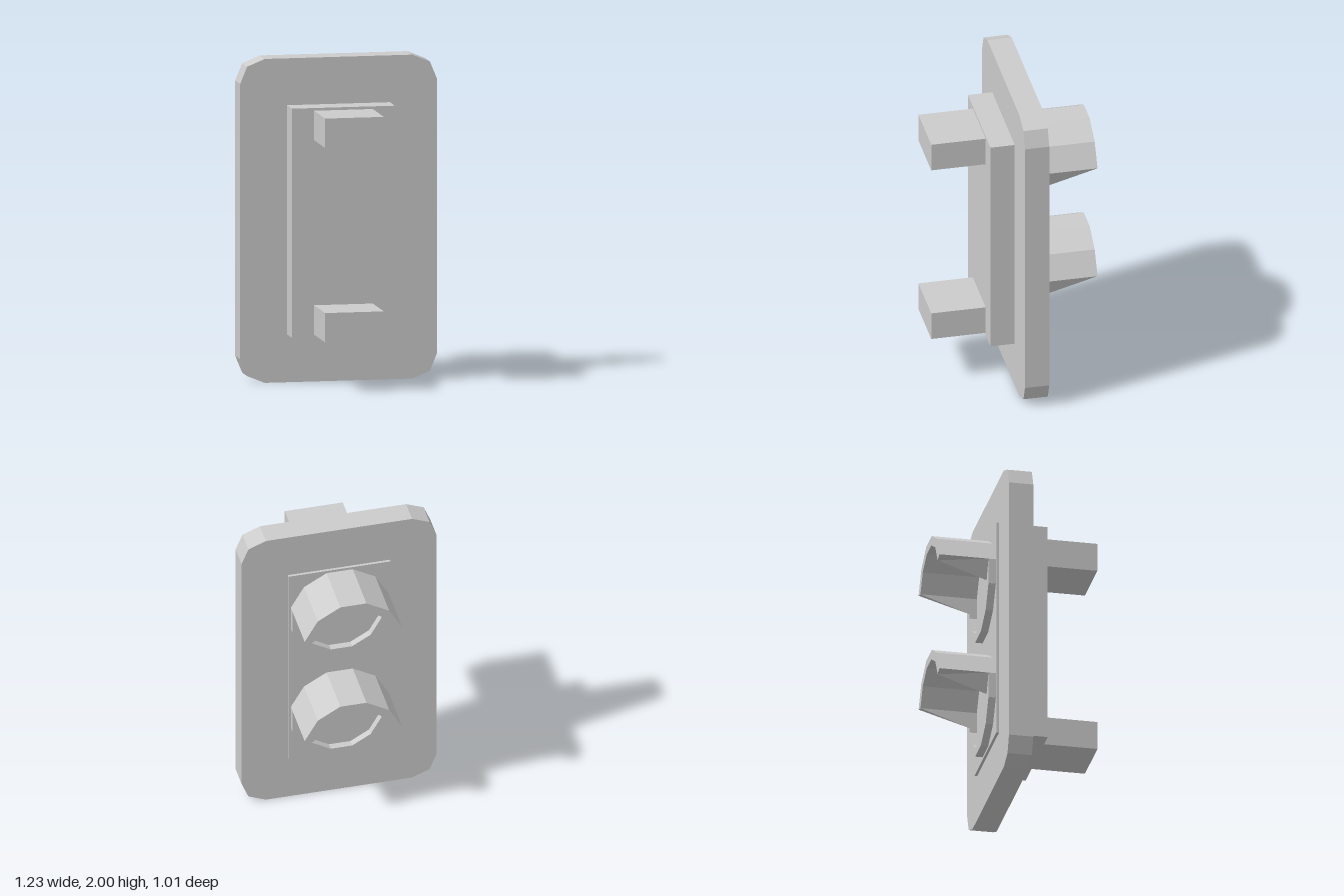
import * as THREE from 'three';

const mat = new THREE.MeshStandardMaterial({ color: 0xcccccc, flatShading: true });
const R = 0.318, r = 0.26; // outer and inner radius of the twelve-sided visors

function add(parent, name, geometry, x = 0, y = 0, z = 0) {
  const mesh = new THREE.Mesh(geometry, mat);
  mesh.name = name;
  mesh.position.set(x, y, z);
  parent.add(mesh);
  return mesh;
}

// Vertices of a twelve-sided polygon with flat top, first at 15 degrees
function polygon(radius, count) {
  return Array.from({ length: count }, (_, i) => {
    const a = (15 + 30 * i) * Math.PI / 180;
    return new THREE.Vector2(radius * Math.cos(a), radius * Math.sin(a));
  });
}

const extrude = (shape, depth) => new THREE.ExtrudeGeometry(shape, { depth, bevelEnabled: false });

// Backing plate with two-step corners
function plateGeometry() {
  const corner = [[0.613, 0.85], [0.57, 0.955], [0.46, 1]];
  const flipped = [...corner].reverse();
  const pts = [
    ...corner,
    ...flipped.map(([x, y]) => [-x, y]),
    ...corner.map(([x, y]) => [-x, -y]),
    ...flipped.map(([x, y]) => [x, -y]),
  ];
  return extrude(new THREE.Shape(pts.map(([x, y]) => new THREE.Vector2(x, y))), 0.152);
}

// Full ring at the foot of a visor
function ringGeometry() {
  const shape = new THREE.Shape(polygon(R, 12));
  shape.holes.push(new THREE.Path(polygon(r, 12).reverse()));
  return extrude(shape, 0.05);
}

// Half-round hood whose inner lower edge slopes down towards the ring
function hoodGeometry() {
  const depth = 0.306;
  const inner = polygon(r, 6);
  const lip = inner[0].y - 0.001;
  const shape = new THREE.Shape([
    ...polygon(R, 6),
    new THREE.Vector2(inner[5].x, lip),
    ...inner.reverse(),
    new THREE.Vector2(inner[5].x, lip),
  ]);
  const geometry = extrude(shape, depth);
  const p = geometry.attributes.position;
  for (let i = 0; i < p.count; i++) {
    if (Math.abs(p.getY(i) - lip) < 0.0004 && p.getZ(i) > depth / 2) p.setY(i, -0.038);
  }
  geometry.computeVertexNormals();
  return geometry;
}

export function createModel() {
  const model = new THREE.Group();
  model.name = 'signalHead';

  add(model, 'backingPlate', plateGeometry(), 0, 1, -0.137);
  add(model, 'housing', new THREE.BoxGeometry(0.642, 1.415, 0.321), 0, 1.003, 0.0065);

  // Mounting brackets
  for (const [name, y] of [['upperBracket', 1.603], ['lowerBracket', 0.402]]) {
    add(model, name, new THREE.BoxGeometry(0.366, 0.182, 0.347), 0, y, 0.3335);
  }

  // Two hooded visors facing backwards
  for (const [name, y] of [['upperVisor', 1.387], ['lowerVisor', 0.619]]) {
    const visor = new THREE.Group();
    visor.name = name;
    visor.position.y = y;
    add(visor, 'visorRing', ringGeometry(), 0, 0, -0.2);
    add(visor, 'visorHood', hoodGeometry(), 0, 0, -0.506);
    model.add(visor);
  }
  return model;
}
